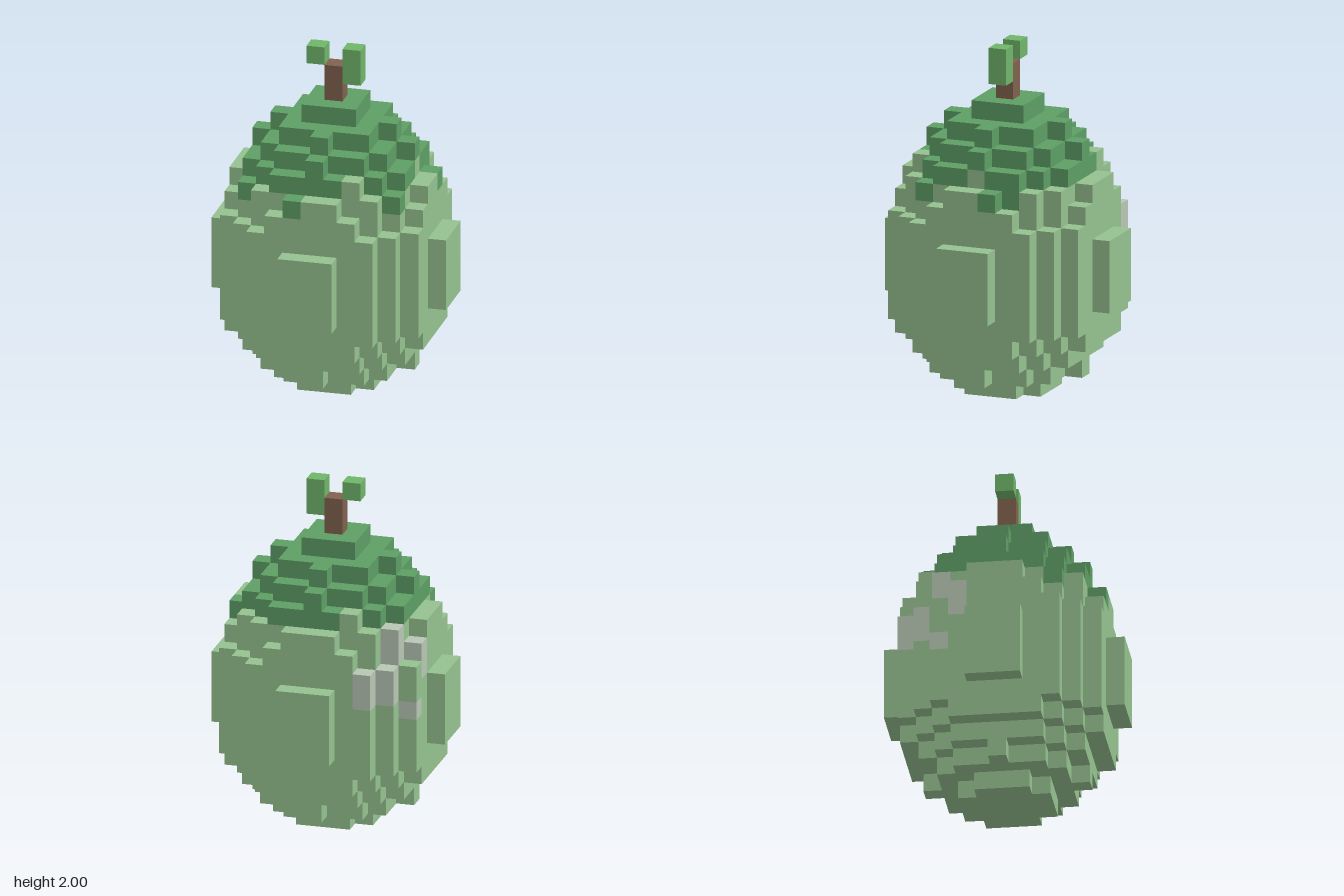
import * as THREE from 'three';
import { mergeGeometries } from 'three/addons/utils/BufferGeometryUtils.js';

const U = 2 / 19; // one block

const material = (name, color) => {
  const m = new THREE.MeshStandardMaterial({ color });
  m.name = name;
  return m;
};

// Half widths in blocks of each row, from the middle row outwards
const BELLY = [5, 5, 5, 5, 4, 3];
const BULGE = [6, 6, 5, 5, 4, 3, 1];
const SHOULDER = [5, 5, 5, 4, 3, 2];
const NECK = [4, 4, 4, 3, 2];
const RIM = [4, 3, 3, 2, 0];
const LAYERS = [
  [2, 2, 1], RIM, NECK, SHOULDER, BELLY,
  BULGE, BULGE, BULGE, BULGE,
  BELLY, SHOULDER, [5, 5, 4, 4, 3, 1],
  NECK, RIM, [3, 2, 2, 0], [1, 1],
];

// Blocks whose colour differs from their layer, as "x,y,z"
const CAP_GAPS = new Set(['2,12,4', '-2,12,-4', '4,12,0']);
const CAP_DRIPS = new Set(['-4,11,3', '4,11,3', '-1,11,5', '5,11,-1', '4,11,-2']);
const PALE_SPOTS = new Set([
  '-3,9,-5', '-3,8,-5', '-4,9,-4', '-4,8,-4', '-4,11,-3', '-4,10,-3',
  '-5,10,-2', '-5,9,-2', '-5,7,-3',
]);

function filled(x, y, z) {
  const rows = LAYERS[y];
  const w = rows && rows[Math.abs(z)];
  return w !== undefined && Math.abs(x) <= w;
}

function partAt(x, y, z) {
  const key = `${x},${y},${z}`;
  if (PALE_SPOTS.has(key)) return 'paleSpots';
  if (CAP_DRIPS.has(key)) return 'cap';
  return y >= 12 && !CAP_GAPS.has(key) ? 'cap' : 'body';
}

// The six faces of a block: direction and the turn that points a plane there
const H = Math.PI / 2;
const FACES = [
  [1, 0, 0, 0, H], [-1, 0, 0, 0, -H],
  [0, 1, 0, -H, 0], [0, -1, 0, H, 0],
  [0, 0, 1, 0, 0], [0, 0, -1, 0, Math.PI],
].map(([dx, dy, dz, rx, ry]) => ({
  dx, dy, dz,
  plane: new THREE.PlaneGeometry(U, U).rotateX(rx).rotateY(ry)
    .translate(dx * U / 2, dy * U / 2, dz * U / 2),
}));

export function createModel() {
  const group = new THREE.Group();
  const colours = {
    body: material('light green', 0x95c18f),
    cap: material('dark green', 0x5e9e65),
    paleSpots: material('pale grey green', 0xb8c7b4),
  };
  const leafGreen = material('leaf green', 0x70b56a);
  const stemBrown = material('stem brown', 0x80624d);

  // Blocky fruit: only the outward faces of each block
  const parts = { body: [], cap: [], paleSpots: [] };
  for (let y = 0; y < LAYERS.length; y++)
    for (let z = -6; z <= 6; z++)
      for (let x = -6; x <= 6; x++) {
        if (!filled(x, y, z)) continue;
        for (const { dx, dy, dz, plane } of FACES)
          if (!filled(x + dx, y + dy, z + dz))
            parts[partAt(x, y, z)].push(
              plane.clone().translate(x * U, (y + 0.5) * U, z * U));
      }
  for (const name in parts) {
    const mesh = new THREE.Mesh(mergeGeometries(parts[name]), colours[name]);
    mesh.name = name;
    group.add(mesh);
  }

  // Stem and two leaves
  const post = (name, mat, x, y, height) => {
    const mesh = new THREE.Mesh(new THREE.BoxGeometry(U, height * U, U), mat);
    mesh.position.set(x * U, (y + height / 2) * U, 0);
    mesh.name = name;
    group.add(mesh);
  };
  post('stem', stemBrown, 0, 16, 2);
  post('leftLeaf', leafGreen, 1, 17, 2);
  post('rightLeaf', leafGreen, -1, 18, 1);

  return group;
}
